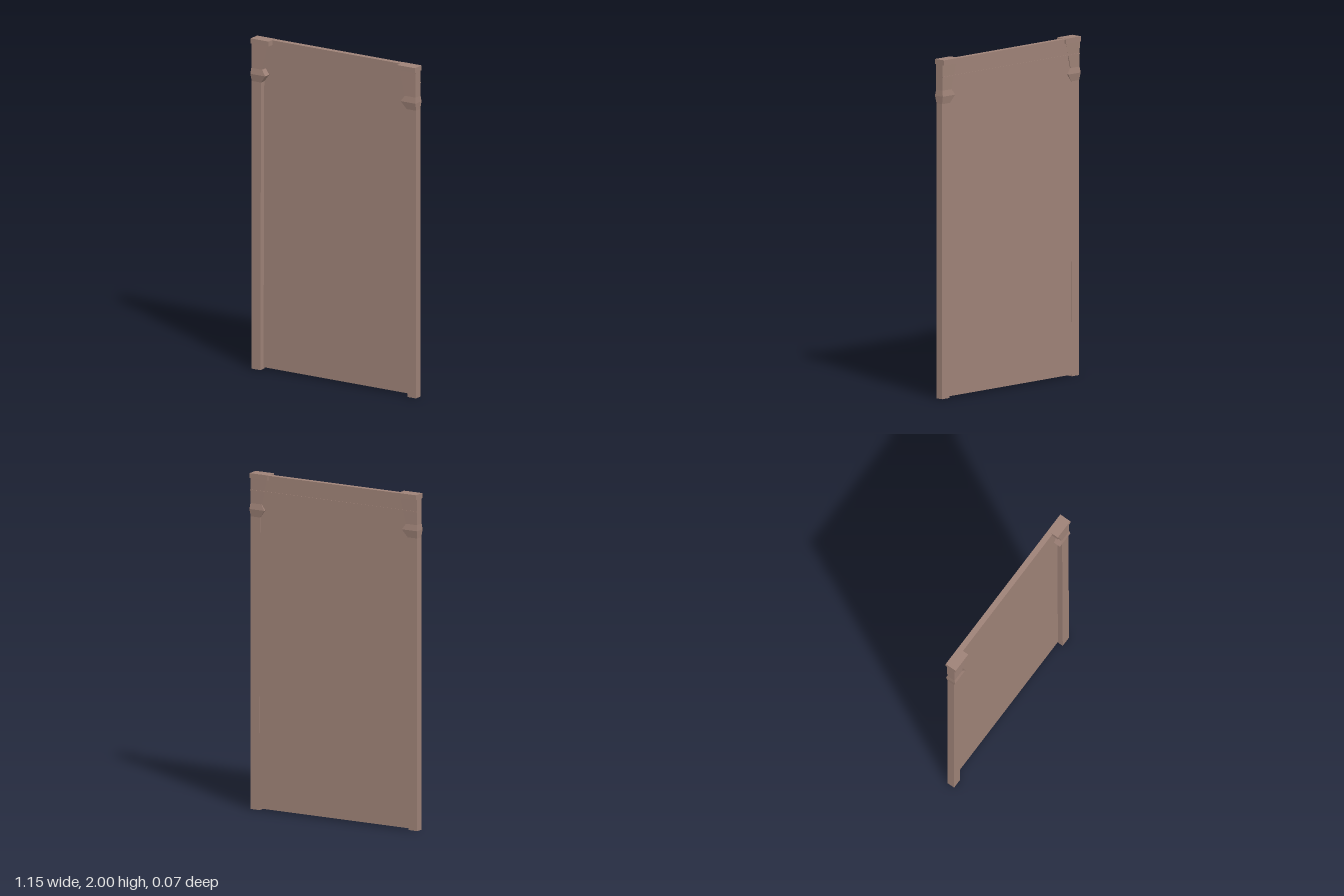
import * as THREE from 'three';

// Pillar cross-sections: [y, inner x, outer x, front z, back z]
const SECTIONS = [
  [0, 0.51, 0.57, 0.025, -0.021],
  [1.74, 0.505, 0.57, 0.024, -0.021],
  [1.785, 0.47, 0.573, 0.034, -0.03],
  [1.82, 0.495, 0.57, 0.028, -0.024],
  [1.97, 0.457, 0.57, 0.027, -0.026],
  [1.97, 0.445, 0.57, 0.036, -0.036],
  [2, 0.445, 0.57, 0.036, -0.036],
];

// Loft of rectangular sections with flat faces and closed ends
function loftPillar(side) {
  const rings = SECTIONS.map(([y, a, b, f, k]) => {
    const x0 = side > 0 ? a : -b;
    const x1 = side > 0 ? b : -a;
    return [[x0, y, f], [x1, y, f], [x1, y, k], [x0, y, k]];
  });
  const pos = [];
  const quad = (a, b, c, d) => [a, b, c, a, c, d].forEach((p) => pos.push(...p));
  for (let i = 0; i < rings.length - 1; i++) {
    const lo = rings[i], hi = rings[i + 1];
    for (let j = 0; j < 4; j++) {
      const n = (j + 1) % 4;
      quad(lo[j], lo[n], hi[n], hi[j]);
    }
  }
  const bottom = rings[0], top = rings[rings.length - 1];
  quad(bottom[3], bottom[2], bottom[1], bottom[0]);
  quad(top[0], top[1], top[2], top[3]);
  const geo = new THREE.BufferGeometry();
  geo.setAttribute('position', new THREE.Float32BufferAttribute(pos, 3));
  geo.computeVertexNormals();
  return geo;
}

export function createModel() {
  const group = new THREE.Group();
  const brown = new THREE.MeshStandardMaterial({ color: 0x9e8277 });
  brown.name = 'dustyBrown';

  const add = (name, geo) => {
    const mesh = new THREE.Mesh(geo, brown);
    mesh.name = name;
    group.add(mesh);
  };
  const slab = (name, halfWidth, y0, y1, z0, z1) => {
    const geo = new THREE.BoxGeometry(halfWidth * 2, y1 - y0, z1 - z0);
    geo.translate(0, (y0 + y1) / 2, (z0 + z1) / 2);
    add(name, geo);
  };

  // Door panel and the lintel band above it
  slab('panel', 0.567, 0.01, 1.9, -0.02, -0.01);
  slab('lintel', 0.569, 1.9, 1.995, -0.025, -0.006);

  // Thin ledges under and over the lintel
  slab('lowerLedge', 0.57, 1.895, 1.901, -0.027, -0.006);
  slab('topLedge', 0.569, 1.994, 1.999, -0.036, -0.002);

  // Pillars with flared collars and square caps
  add('leftPillar', loftPillar(1));
  add('rightPillar', loftPillar(-1));
  return group;
}
